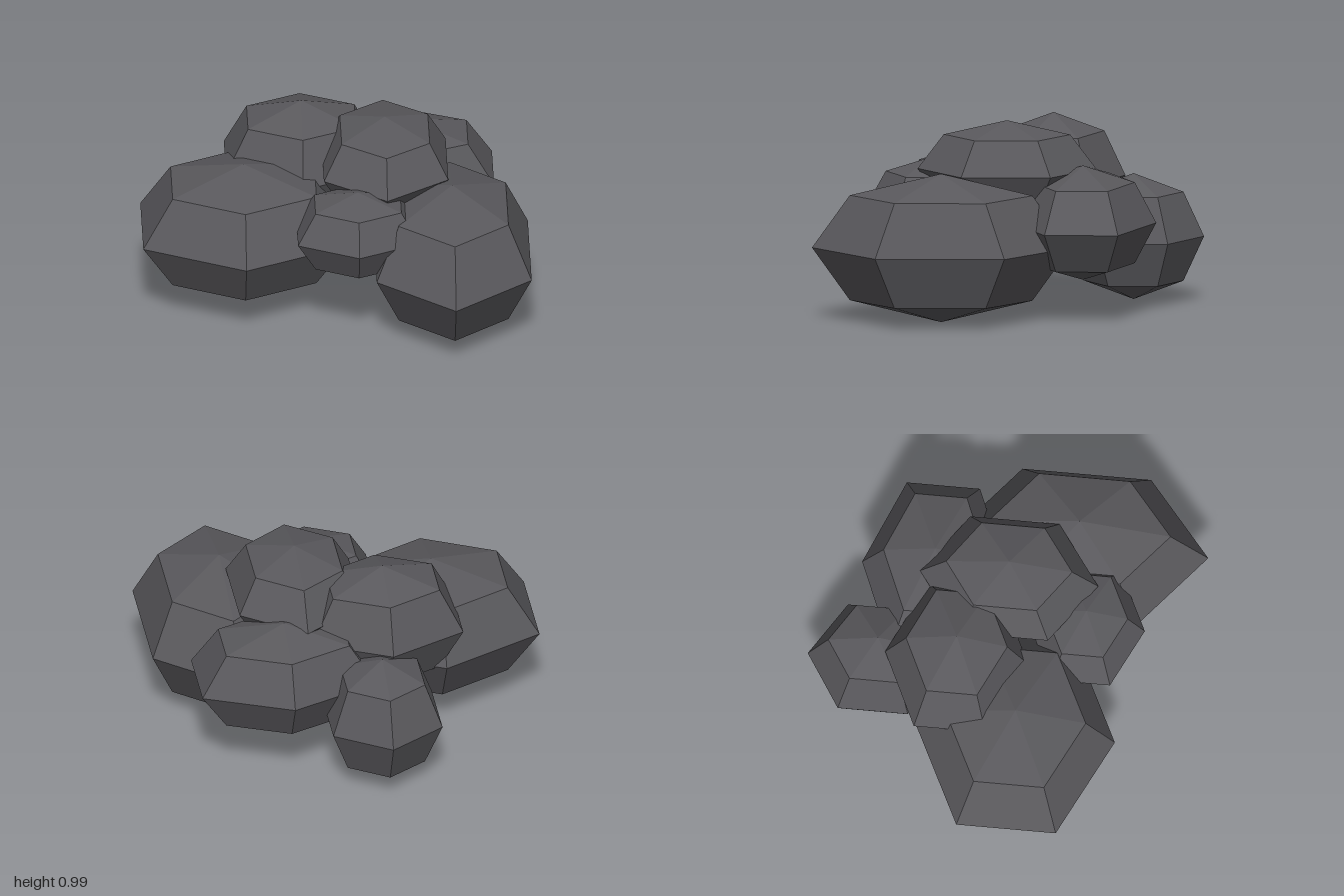
import * as THREE from 'three';

// Cluster of low-poly puffs: [name, centre, radii]
const PUFFS = [
  ['rightPuff', [-0.47, 0.44, 0.10], [0.60, 0.35, 0.51]],
  ['leftPuff', [0.59, 0.39, 0.33], [0.457, 0.383, 0.66]],
  ['topPuff', [0.255, 0.75, 0.0], [0.367, 0.25, 0.457]],
  ['upperRightPuff', [-0.165, 0.655, -0.23], [0.45, 0.325, 0.367]],
  ['frontPuff', [0.105, 0.555, 0.41], [0.358, 0.225, 0.30]],
  ['backLeftPuff', [0.37, 0.49, -0.39], [0.52, 0.295, 0.375]],
  ['backPuff', [-0.10, 0.35, -0.64], [0.326, 0.325, 0.36]],
];

export function createModel() {
  const model = new THREE.Group();
  model.name = 'smokeCloud';

  const smoke = new THREE.MeshStandardMaterial({ color: 0x59585c, flatShading: true });
  smoke.name = 'smoke grey';

  for (const [name, centre, radii] of PUFFS) {
    // Six-sided sphere with a corner facing the front
    const geometry = new THREE.SphereGeometry(1, 6, 4, Math.PI / 2);
    geometry.scale(...radii);
    const puff = new THREE.Mesh(geometry, smoke);
    puff.name = name;
    puff.position.set(...centre);
    model.add(puff);
  }
  return model;
}
